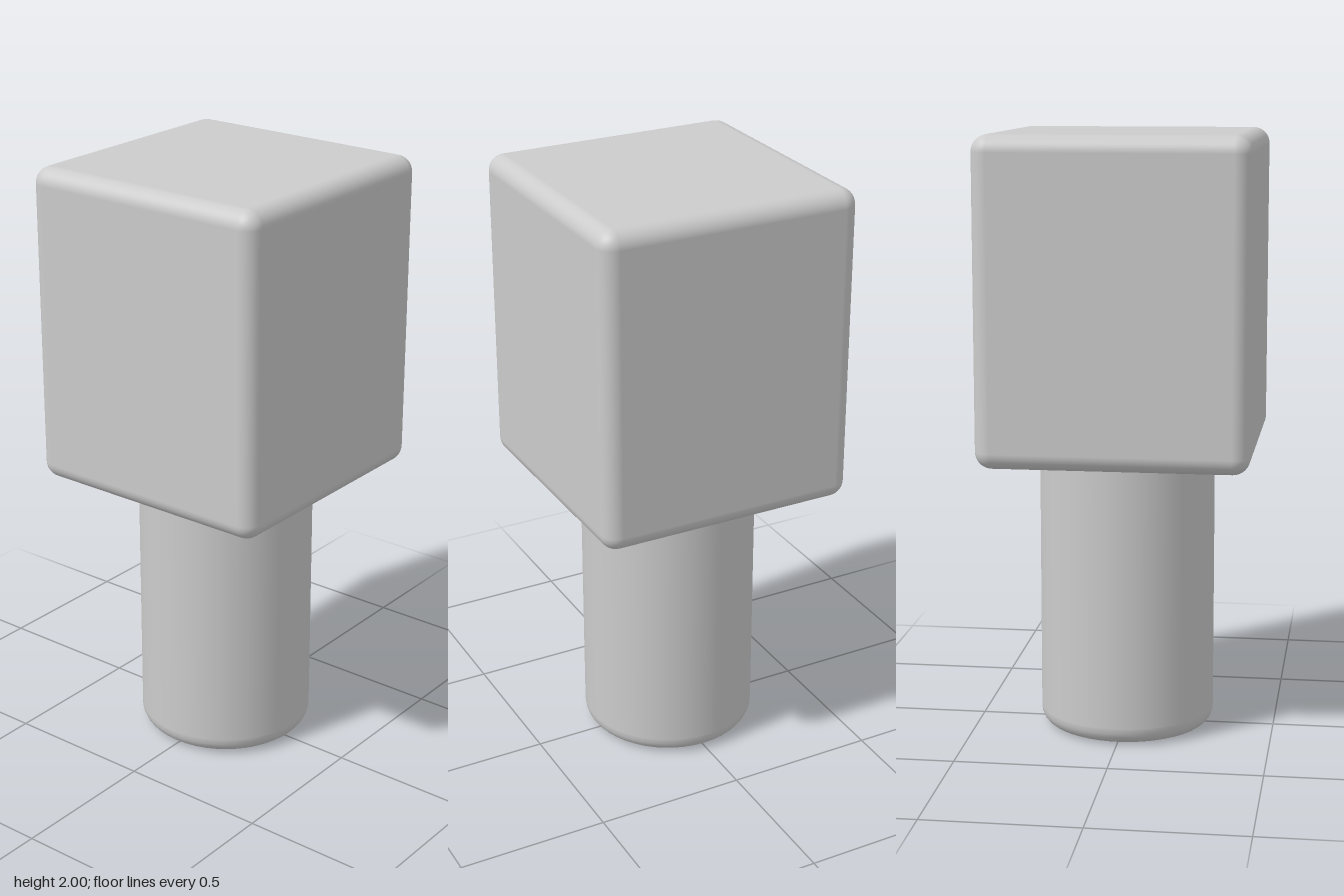
import * as THREE from 'three';
import { RoundedBoxGeometry } from 'three/addons/geometries/RoundedBoxGeometry.js';

export function createModel() {
  const group = new THREE.Group();
  const material = new THREE.MeshStandardMaterial({ color: 0xcccccc });
  const add = (name, geometry, y) => {
    const mesh = new THREE.Mesh(geometry, material);
    mesh.name = name;
    mesh.position.y = y;
    group.add(mesh);
  };

  // Square head with softly rounded edges
  const width = 0.878, headBottom = 0.945, headTop = 2, fillet = 0.055;
  const height = headTop - headBottom;
  add('head', new RoundedBoxGeometry(width, height, width, 5, fillet), headBottom + height / 2);

  // Round shaft with a filleted foot, closed on top against the head
  const radius = 0.293, steps = 6;
  const profile = [new THREE.Vector2(0, 0), new THREE.Vector2(radius - fillet - 0.005, 0)];
  for (let i = 0; i <= steps; i++) {
    const a = (i / steps) * Math.PI / 2;
    profile.push(new THREE.Vector2(
      radius - fillet + fillet * Math.sin(a),
      fillet - fillet * Math.cos(a)
    ));
  }
  profile.push(new THREE.Vector2(radius, fillet + 0.005), new THREE.Vector2(radius, headBottom + 0.005));
  add('shaft', new THREE.LatheGeometry(profile, 48), 0);

  return group;
}
